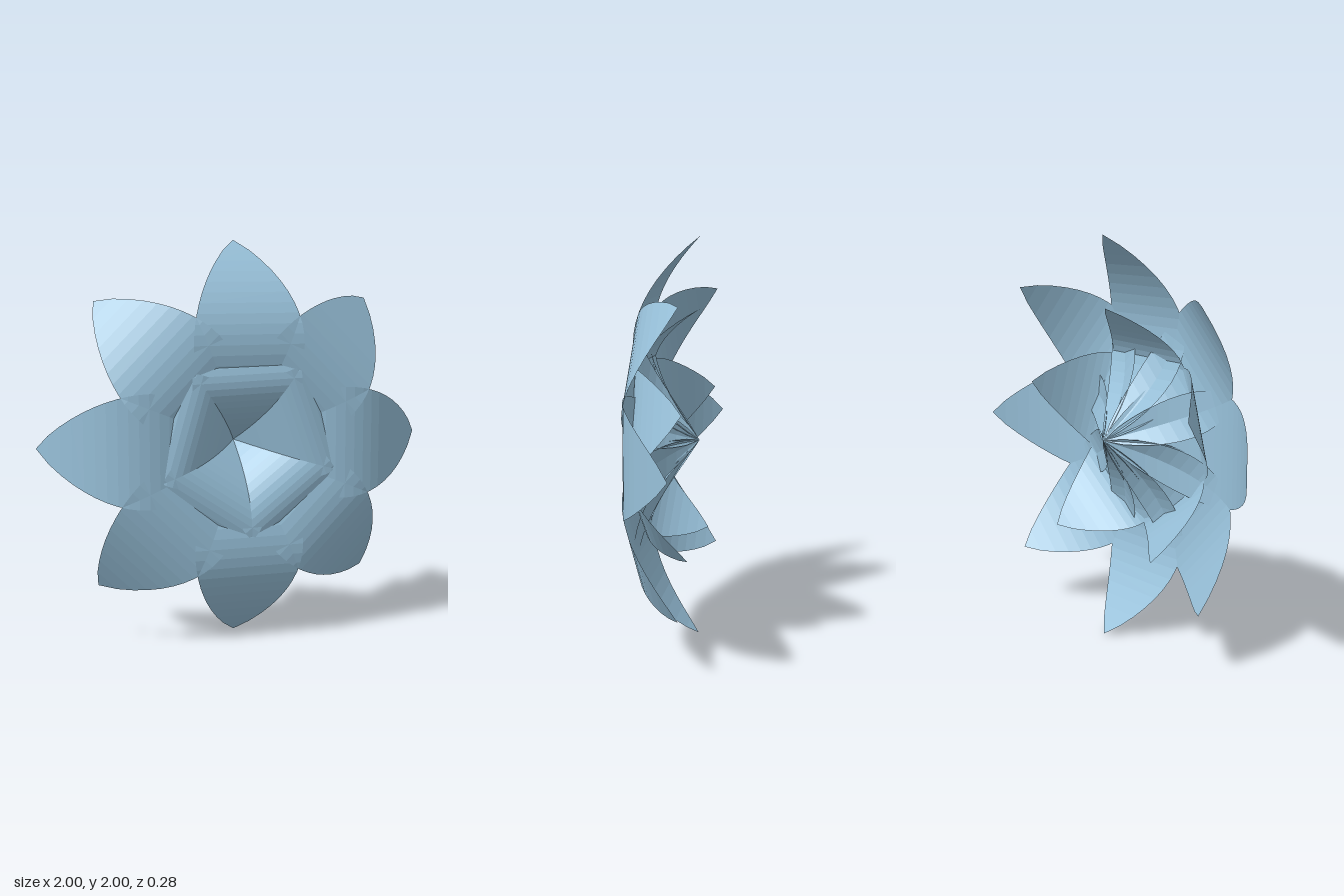
import * as THREE from 'three';

const HEIGHT = 0.28;      // depth of each petal's arch
const HALF_WIDTH = 0.28;  // widest half-width of a petal
const STEPS = 20;

// Petal: a strip pointed at both ends, bent along its length into a parabolic arch
function petalGeometry(length) {
  const geo = new THREE.PlaneGeometry(2, 1, 1, STEPS);
  const pos = geo.attributes.position;
  for (let i = 0; i < pos.count; i++) {
    const t = pos.getY(i) + 0.5;
    const arch = Math.max(0, 4 * t * (1 - t));
    pos.setXYZ(i, pos.getX(i) * HALF_WIDTH * Math.pow(arch, 0.85), t * length, HEIGHT * (arch - 0.5));
  }
  geo.computeVertexNormals();
  return geo;
}

// Ring of equal petals fanned around the z axis, the first pointing up
function petalRing(name, count, length, turn, material) {
  const ring = new THREE.Group();
  ring.name = name + 'Ring';
  const geo = petalGeometry(length);
  for (let i = 0; i < count; i++) {
    const petal = new THREE.Mesh(geo, material);
    petal.name = name;
    petal.rotation.z = turn + (i / count) * Math.PI * 2;
    ring.add(petal);
  }
  return ring;
}

export function createModel() {
  const paleBlue = new THREE.MeshStandardMaterial({ color: 0x98c1da, flatShading: true, side: THREE.DoubleSide });
  paleBlue.name = 'paleBlue';

  const flower = new THREE.Group();
  flower.name = 'flower';
  flower.add(petalRing('outerPetal', 8, 1, 0, paleBlue));
  flower.add(petalRing('innerPetal', 5, 0.65, 0.03, paleBlue));
  flower.position.y = 1;

  const model = new THREE.Group();
  model.name = 'model';
  model.add(flower);
  return model;
}
